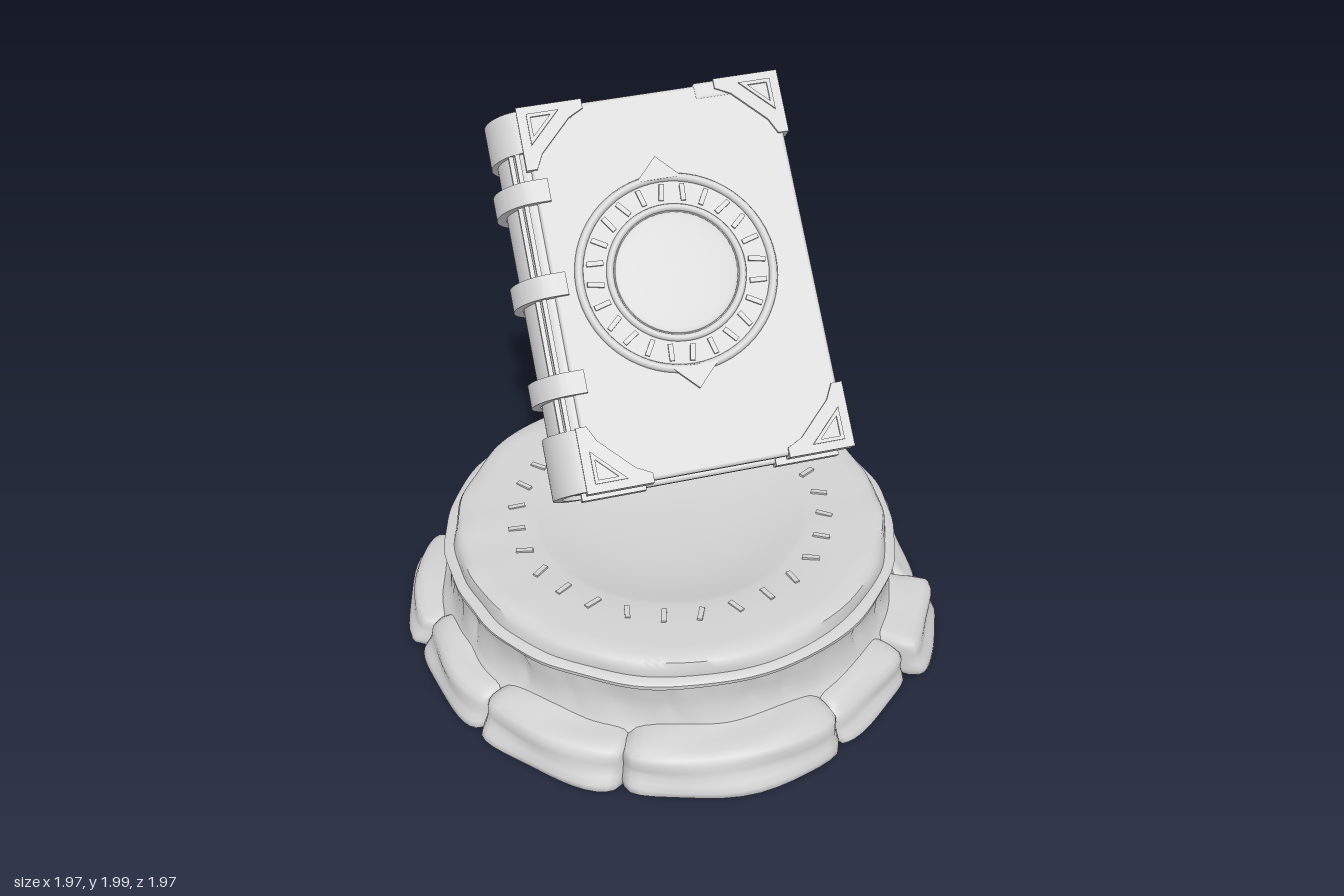
import * as THREE from 'three';
import { mergeVertices, toCreasedNormals } from 'three/addons/utils/BufferGeometryUtils.js';
import { RoundedBoxGeometry } from 'three/addons/geometries/RoundedBoxGeometry.js';

const stone = new THREE.MeshStandardMaterial({ color: 0xd2d2d2 });
stone.name = 'pale grey';

function add(parent, name, geometry, x = 0, y = 0, z = 0) {
  const mesh = new THREE.Mesh(geometry, stone);
  mesh.name = name;
  mesh.position.set(x, y, z);
  parent.add(mesh);
  return mesh;
}

const wobble = (a, b, c) =>
  (Math.sin(a * 3.1 + b * 1.7 + 0.4) + Math.sin(b * 4.3 - c * 2.9 + 1.3) + Math.sin(c * 5.2 + a * 2.3)) / 3;

function reshape(geometry, rule) {
  const p = geometry.attributes.position;
  const v = new THREE.Vector3();
  for (let i = 0; i < p.count; i++) {
    rule(v.fromBufferAttribute(p, i));
    p.setXYZ(i, v.x, v.y, v.z);
  }
  return geometry;
}

// Rounded boulder bent around the base between two angles (degrees)
function boulder(a0, a1, radius, height) {
  let g = new THREE.BoxGeometry(2, 2, 2, 14, 8, 8);
  g.deleteAttribute('uv');
  g.deleteAttribute('normal');
  g = mergeVertices(g);
  const mid = THREE.MathUtils.degToRad((a0 + a1) / 2);
  const half = THREE.MathUtils.degToRad((a1 - a0) / 2) * 1.03;
  reshape(g, (v) => {
    const n = 7;
    const sum = Math.abs(v.x) ** n + Math.abs(v.y) ** n + Math.abs(v.z) ** n;
    v.multiplyScalar(Math.max(Math.abs(v.x), Math.abs(v.y), Math.abs(v.z)) / sum ** (1 / n));
    const angle = mid + v.x * half;
    const lump = wobble(angle * 4, v.y * 1.3, v.z + radius * 9);
    const lean = v.z > 0 ? 0.03 * v.y : 0;
    const r = 0.77 + v.z * (radius - 0.77) - lean * v.z + lump * 0.018;
    const y = Math.max(0, (v.y * 0.5 + 0.5) * height + (v.y > 0 ? lump * 0.012 : 0) - 0.004);
    v.set(Math.cos(angle) * r, y, -Math.sin(angle) * r);
  });
  g.computeVertexNormals();
  return g;
}

function createPedestal() {
  const group = new THREE.Group();
  group.name = 'pedestal';

  // Drum, lip and shallow bowl as one worn turned profile
  const profile = [
    [0, 0], [0.86, 0], [0.87, 0.1], [0.84, 0.15], [0.825, 0.17], [0.815, 0.19], [0.805, 0.23],
    [0.8, 0.28], [0.805, 0.335], [0.818, 0.343], [0.82, 0.358], [0.808, 0.367], [0.785, 0.37],
    [0.782, 0.395], [0.772, 0.42], [0.75, 0.432], [0.7, 0.434], [0.6, 0.43], [0.5, 0.428],
    [0.475, 0.422], [0.4, 0.395], [0.28, 0.37], [0.14, 0.358], [0, 0.355],
  ].map(([x, y]) => new THREE.Vector2(x, y));
  const drum = reshape(new THREE.LatheGeometry(profile, 160), (v) => {
    const r = Math.hypot(v.x, v.z);
    if (r < 0.49 || v.y < 0.1) return;
    const a = Math.atan2(v.z, v.x);
    const lump = wobble(v.x * 5, v.y * 14, v.z * 5);
    let d = lump * 0.007;
    // upright joints between the blocks of the band
    if (v.y > 0.2 && v.y < 0.33) {
      d -= 0.014 * Math.max(0, Math.cos(a * 32 + Math.sin(a * 5))) ** 8;
    }
    v.x *= 1 + d / r;
    v.z *= 1 + d / r;
    if (v.y > 0.39) v.y += lump * 0.004;
  });
  add(group, 'drum', toCreasedNormals(drum, 0.7), -0.01, 0, -0.01);

  // Ring of boulders
  const joints = [102, 77, 56, 26, 0, -24, -51, -98, -132, -162, -194, -234, -258];
  const radii = [0.965, 0.93, 0.965, 0.91, 0.97, 0.92, 0.97, 0.955, 0.935, 0.97, 0.93, 0.92];
  const heights = [0.17, 0.16, 0.18, 0.16, 0.18, 0.17, 0.185, 0.18, 0.17, 0.15, 0.17, 0.16];
  radii.forEach((r, i) => add(group, 'boulder', boulder(joints[i + 1], joints[i], r, heights[i])));

  // Short carved marks round the bowl
  for (let i = 0; i < 28; i++) {
    const a = (i / 28) * Math.PI * 2;
    const mark = add(group, 'rimMark', new THREE.BoxGeometry(0.06, 0.012, 0.018),
      Math.cos(a) * 0.56 - 0.01, 0.43, Math.sin(a) * 0.56 - 0.01);
    mark.rotation.y = -a + (i % 3 - 1) * 0.35;
  }
  return group;
}

// Curved shell around the spine; wrap is how far it runs over the boards
function spineShell(depth, half, thick, height, wrap) {
  const s = new THREE.Shape();
  s.moveTo(wrap, half);
  s.absellipse(0, 0, depth, half, Math.PI / 2, Math.PI * 1.5, false);
  s.lineTo(wrap, -half);
  s.lineTo(wrap, -half + thick);
  s.absellipse(0, 0, depth - thick, half - thick, Math.PI * 1.5, Math.PI / 2, true);
  s.lineTo(wrap, half - thick);
  s.closePath();
  const g = new THREE.ExtrudeGeometry(s, { depth: height, bevelEnabled: false, curveSegments: 20 });
  g.translate(0, 0, -height / 2).rotateX(-Math.PI / 2);
  return toCreasedNormals(g, 0.6);
}

function polygon(points, depth, hole) {
  const s = new THREE.Shape(points.map(([x, y]) => new THREE.Vector2(x, y)));
  if (hole) s.holes.push(new THREE.Path(hole.map(([x, y]) => new THREE.Vector2(x, y))));
  return new THREE.ExtrudeGeometry(s, { depth, bevelEnabled: false });
}

function createBook() {
  const book = new THREE.Group();
  book.name = 'book';

  // Boards and stacked pages
  add(book, 'frontBoard', new RoundedBoxGeometry(0.84, 1.25, 0.045, 3, 0.012), 0, 0, -0.0225);
  add(book, 'backBoard', new RoundedBoxGeometry(0.84, 1.25, 0.045, 3, 0.012), 0, 0, -0.2575);
  for (let i = 0; i < 7; i++) {
    const inset = [0.012, 0, 0.016, 0.004, 0.018, 0.002, 0.012][i];
    add(book, 'pages', new RoundedBoxGeometry(0.84 - inset, 1.18 - inset * 2, 0.03, 2, 0.008),
      -0.04 - inset / 2, 0.01, -0.14 + (i - 3) * 0.0275);
  }

  // Blocks closing the head on both sides of a window of pages
  for (const [x0, x1] of [[-0.43, -0.25], [0.15, 0.425]]) {
    add(book, 'headCap', new RoundedBoxGeometry(x1 - x0, 0.06, 0.285, 3, 0.012), (x0 + x1) / 2, 0.603, -0.14);
  }

  // Spine with end caps and three straps
  const spine = (name, depth, half, height, y, wrap) =>
    add(book, name, spineShell(depth, half, 0.03, height, wrap), -0.42, y, -0.14);
  spine('spine', 0.095, 0.13, 1.22, 0, 0.02);
  spine('spineCap', 0.115, 0.142, 0.14, 0.555, 0.02);
  spine('spineCap', 0.115, 0.142, 0.2, -0.525, 0.02);
  for (const y of [0.35, 0.04, -0.28]) spine('strap', 0.128, 0.155, 0.075, y, 0.045);
  add(book, 'headPlug', toCreasedNormals(
    new THREE.CylinderGeometry(1, 1, 0.04, 24, 1, false, Math.PI, Math.PI).scale(0.1, 1, 0.13), 0.6),
  -0.42, 0.6, -0.14);
  for (const x of [-0.455, -0.475]) {
    add(book, 'spineRib', new THREE.BoxGeometry(0.015, 1.1, 0.02), x, 0, x === -0.455 ? -0.018 : -0.032);
  }

  // Corner guards with a raised triangle, on both boards
  const guard = [[0.015, 0.012], [-0.2, 0.012], [-0.2, -0.02], [-0.15, -0.045], [-0.045, -0.15], [-0.02, -0.2], [0.015, -0.2]];
  const outer = [[-0.015, -0.015], [-0.12, -0.015], [-0.015, -0.12]];
  const inner = [[-0.027, -0.027], [-0.092, -0.027], [-0.027, -0.092]];
  for (const sx of [-1, 1]) {
    for (const sy of [-1, 1]) {
      const flip = (list) => {
        const out = list.map(([x, y]) => [x * sx, y * sy]);
        return sx * sy < 0 ? out.reverse() : out;
      };
      const x = 0.42 * sx;
      const y = 0.622 * sy;
      add(book, 'frontCornerGuard', polygon(flip(guard), 0.062), x, y, -0.052);
      add(book, 'backCornerGuard', polygon(flip(guard), 0.055), x, y, -0.284);
      add(book, 'cornerOrnament', polygon(flip(outer), 0.008, flip(inner)), x, y, 0.009);
    }
  }

  // Round emblem: two rims, radial marks, two points and a plain domed centre
  const emblem = new THREE.Group();
  emblem.name = 'emblem';
  emblem.position.set(-0.02, 0.02, 0);
  book.add(emblem);
  for (const [r, t] of [[0.315, 0.014], [0.215, 0.012]]) {
    add(emblem, 'emblemRim', new THREE.TorusGeometry(r, t, 8, 64));
  }
  const dome = new THREE.SphereGeometry(0.2, 48, 8, 0, Math.PI * 2, 0, Math.PI / 2);
  add(emblem, 'emblemCentre', dome.rotateX(Math.PI / 2).scale(1, 1, 0.05));
  for (let i = 0; i < 24; i++) {
    const a = (i / 24) * Math.PI * 2;
    const mark = add(emblem, 'emblemMark', new THREE.BoxGeometry(0.055, 0.016, 0.016),
      Math.cos(a) * 0.265, Math.sin(a) * 0.265, 0);
    mark.rotation.z = a + (i % 3 - 1) * 0.2;
  }
  for (const s of [0, Math.PI]) {
    const point = add(emblem, 'emblemPoint', polygon([[-0.075, 0.308], [0.075, 0.308], [0, 0.385]], 0.014));
    point.rotation.z = s;
  }

  // Tilt the floating book
  const up = new THREE.Vector3(-0.215, 0.72, -0.66).normalize();
  const out = new THREE.Vector3(0.145, 0.692, 0.708);
  const side = new THREE.Vector3().crossVectors(up, out).normalize();
  out.crossVectors(side, up);
  book.quaternion.setFromRotationMatrix(new THREE.Matrix4().makeBasis(side, up, out));
  book.position.set(0.04, 1.5, 0.115);
  return book;
}

export function createModel() {
  const model = new THREE.Group();
  model.name = 'floatingBookOnPedestal';
  model.add(createPedestal(), createBook());
  return model;
}
